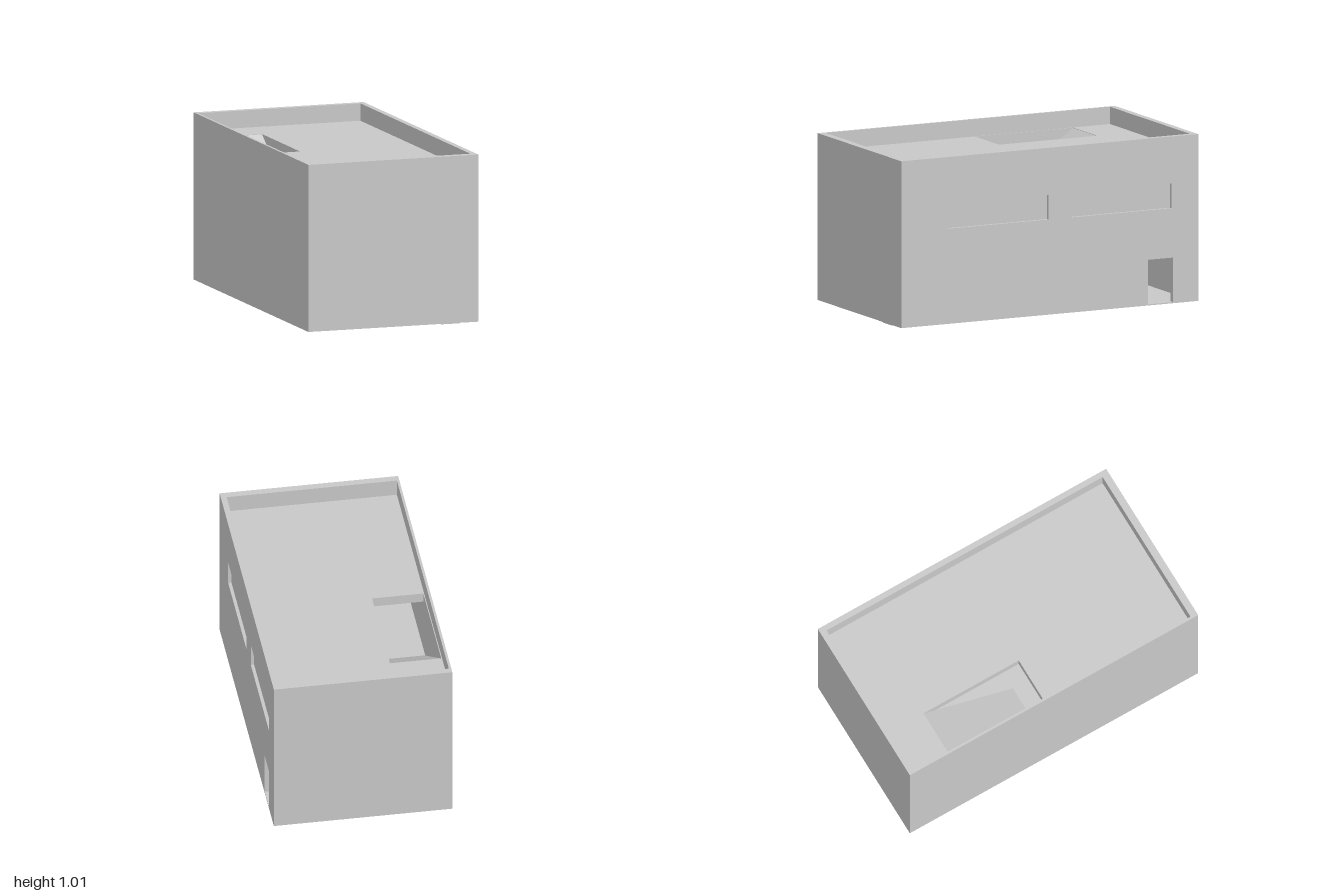
import * as THREE from 'three';

const X = 0.54, Z = 1, TOP = 1.015, BASE = 0.01;
// inner faces of the walls
const X0 = -0.525, X1 = 0.505, Z0 = -0.96, Z1 = 0.955;

export function createModel() {
  const group = new THREE.Group();
  const concrete = new THREE.MeshStandardMaterial({ color: 0xc8c8c8 });
  concrete.name = 'concrete grey';

  const add = (name, geometry) => {
    const mesh = new THREE.Mesh(geometry, concrete);
    mesh.name = name;
    group.add(mesh);
    return mesh;
  };
  // box given by its limits on each axis
  const block = (name, x0, x1, y0, y1, z0, z1) => {
    const g = new THREE.BoxGeometry(x1 - x0, y1 - y0, z1 - z0);
    g.translate((x0 + x1) / 2, (y0 + y1) / 2, (z0 + z1) / 2);
    return add(name, g);
  };
  const polygon = (points, Type = THREE.Shape) =>
    new Type(points.map(([a, b]) => new THREE.Vector2(a, b)));
  const rect = (a0, a1, b0, b1) => [[a0, b0], [a1, b0], [a1, b1], [a0, b1]];
  // extrude a side profile, drawn in (-z, y), along x
  const sideExtrude = (name, shape, x0, x1) => {
    const g = new THREE.ExtrudeGeometry(shape, { depth: x1 - x0, bevelEnabled: false });
    g.rotateY(Math.PI / 2).translate(x0, 0, 0);
    return add(name, g);
  };

  // ground slab and the thin footing under it
  block('groundSlab', -X, X, 0.003, BASE, -Z, Z);
  block('footingPlate', 0.305, 0.42, 0, 0.003, 0.69, Z);

  // plain walls
  block('frontWall', -X, X, BASE, TOP, Z1, Z);
  block('backWall', -X, X, BASE, TOP, -Z, Z0);
  block('rightWall', -X, X0, BASE, TOP, Z0, Z1);

  // wall with the doorway notch and two long windows
  const wall = polygon([
    [-Z1, BASE], [0.66, BASE], [0.66, 0.28], [0.83, 0.28], [0.83, BASE],
    [-Z0, BASE], [-Z0, TOP], [-Z1, TOP],
  ]);
  const windows = [[-0.685, -0.01], [0.15, 0.82]];
  for (const [a, b] of windows) {
    wall.holes.push(polygon(rect(a, b, 0.58, 0.73), THREE.Path));
    block('windowPane', X1, 0.52, 0.58, 0.73, -b, -a);
  }
  sideExtrude('leftWall', wall, X1, X);

  // upper storey floor
  block('upperFloor', X0, X1, 0.42, 0.48, Z0, Z1);

  // sunken roof with the stairwell opening, drawn in (x, -z)
  const roof = polygon(rect(X0, X1, -Z1, -Z0));
  roof.holes.push(polygon(rect(-0.52, -0.21, 0.05, 0.71), THREE.Path));
  const roofGeometry = new THREE.ExtrudeGeometry(roof, { depth: 0.06, bevelEnabled: false });
  roofGeometry.rotateX(-Math.PI / 2).translate(0, 0.85, 0);
  add('roofDeck', roofGeometry);

  // ramp from the roof down to the upper floor
  const ramp = polygon([[0.71, 0.908], [0.09, 0.48], [0.15, 0.48], [0.71, 0.866]]);
  sideExtrude('roofRamp', ramp, -0.52, -0.21);

  return group;
}
